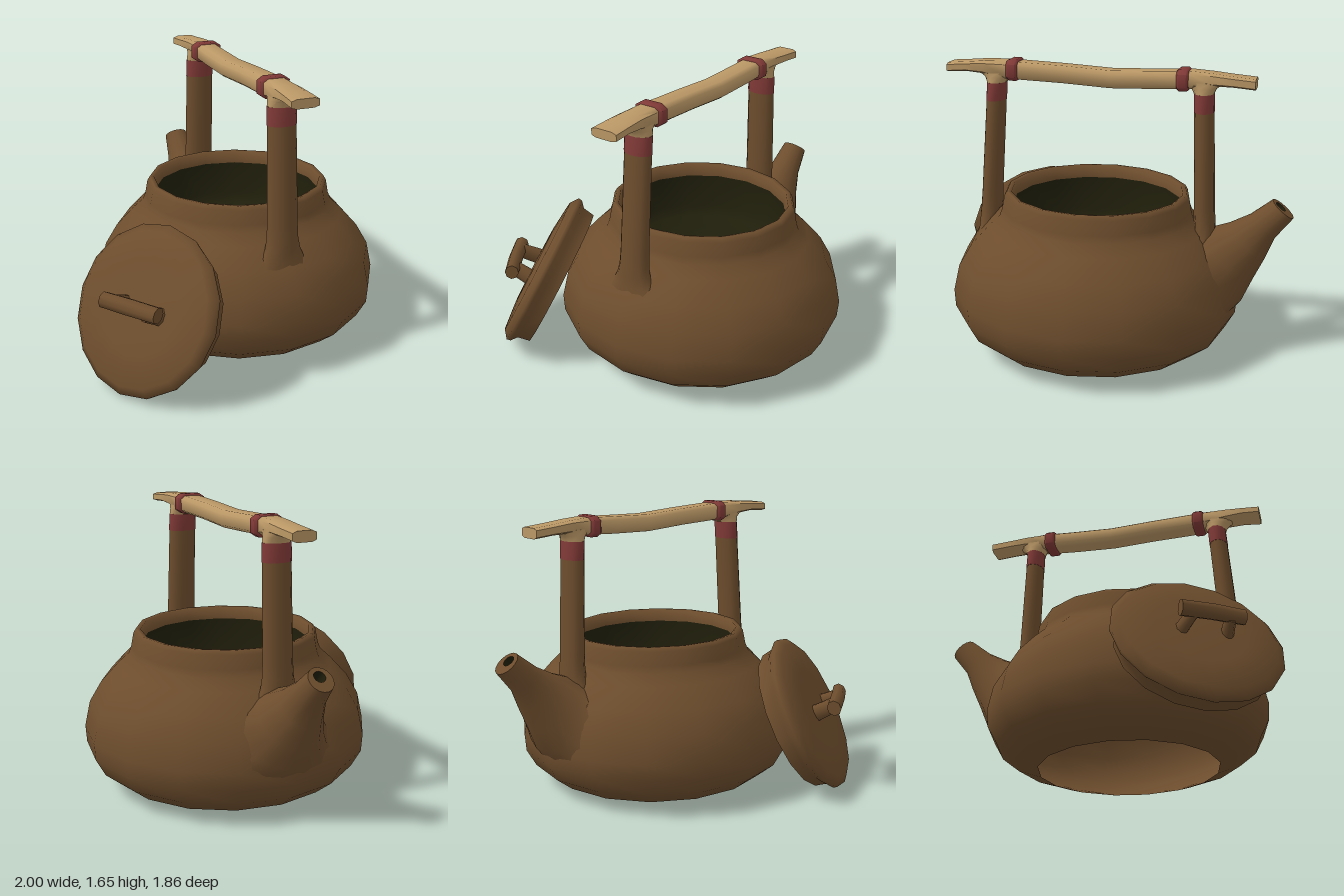
import * as THREE from 'three';
import { toCreasedNormals } from 'three/addons/utils/BufferGeometryUtils.js';

const paint = (name, color) => {
  const m = new THREE.MeshStandardMaterial({ color });
  m.name = name;
  return m;
};

// The posts, bar and spout all lie in one vertical plane through the pot:
// T runs along it towards the spout, S runs across it.
const UP = new THREE.Vector3(0, 1, 0);
const T = new THREE.Vector3(0.434, 0, -0.901);
const S = new THREE.Vector3(0.901, 0, 0.434);
const at = (s, y) => new THREE.Vector3(0.17 + s * T.x, y, 0.1 + s * T.z);

// Profile of the pot wall [radius, height], from the foot to the shoulder
const WALL = [
  [0.53, 0], [0.67, 0.05], [0.77, 0.13], [0.825, 0.23], [0.832, 0.33],
  [0.8, 0.48], [0.73, 0.6], [0.63, 0.71], [0.565, 0.77],
];

// Push a point that lies inside the pot out to just beneath its wall
function settle(p) {
  const i = WALL.findIndex(([, y], n) => n > 0 && p.y < y);
  if (i < 0) return;
  const [[r0, y0], [r1, y1]] = [WALL[i - 1], WALL[i]];
  const r = THREE.MathUtils.mapLinear(p.y, y0, y1, r0, r1) * 0.975 - 0.005;
  const x = p.x - 0.17, z = p.z - 0.1, d = Math.hypot(x, z);
  if (d < r) p.set(0.17 + (x / d) * r, p.y, 0.1 + (z / d) * r);
}

// Skin a row of oval rings [centre, radiusA, radiusB]; axes A x B point along the travel.
// A power below 1 makes the ovals boxier; rooted parts settle onto the pot wall.
function loft(rings, A, B, sides, { startCap = true, endCap = true, power = 1, rooted = false } = {}) {
  const pos = [], idx = [];
  const bend = (v) => Math.sign(v) * Math.abs(v) ** power;
  for (const [c, ra, rb] of rings) {
    for (let j = 0; j < sides; j++) {
      const t = (j / sides) * Math.PI * 2 + Math.PI / sides;
      const p = c.clone()
        .addScaledVector(A, ra * bend(Math.cos(t)))
        .addScaledVector(B, rb * bend(Math.sin(t)));
      if (rooted) settle(p);
      pos.push(p.x, p.y, p.z);
    }
  }
  for (let i = 0; i < rings.length - 1; i++) {
    for (let j = 0; j < sides; j++) {
      const k = (j + 1) % sides, a = i * sides, b = a + sides;
      idx.push(a + j, a + k, b + k, a + j, b + k, b + j);
    }
  }
  const last = (rings.length - 1) * sides;
  for (let j = 1; j < sides - 1; j++) {
    if (startCap) idx.push(0, j + 1, j);
    if (endCap) idx.push(last, last + j, last + j + 1);
  }
  const g = new THREE.BufferGeometry();
  g.setAttribute('position', new THREE.Float32BufferAttribute(pos, 3));
  g.setIndex(idx);
  return toCreasedNormals(g, 1.1);
}

const lathe = (points, sides) => toCreasedNormals(
  new THREE.LatheGeometry(points.map(([r, y]) => new THREE.Vector2(r, y)), sides), 1.35);

export function createModel() {
  const clay = paint('brown clay', 0x6d4d2d);
  const wood = paint('pale wood', 0xbb9866);
  const cord = paint('red cord', 0x813a37);
  const inside = paint('dark green inside', 0x1f1e0b);

  const model = new THREE.Group();
  model.name = 'teapot';
  const add = (name, geometry, material, parent = model) => {
    const mesh = new THREE.Mesh(geometry, material);
    mesh.name = name;
    parent.add(mesh);
    return mesh;
  };

  // Pot: squat shell, open underneath, with an upright collar; it leans very slightly
  const pot = new THREE.Group();
  pot.name = 'pot';
  pot.position.set(0.17, 0.01, 0.1);
  pot.rotation.set(-0.014, -0.04, -0.01);
  model.add(pot);
  add('body', lathe([
    ...WALL, [0.55, 0.81], [0.535, 0.89], [0.52, 0.915], [0.495, 0.912], [0.485, 0.84],
  ], 16), clay, pot);
  // Underside of the shell, seen through the open foot
  const lining = WALL.slice(0, 7).map(([r, y], i) => [i ? r - 0.03 : r, y]).reverse();
  add('bodyLining', lathe([[0, 0.54], ...lining], 16), clay, pot);
  // Dark basin below the collar
  add('hollow', lathe([
    [0.485, 0.84], [0.48, 0.64], [0.44, 0.585], [0.25, 0.565], [0, 0.56],
  ], 16), inside, pot);

  // Spout: wide root tapering to an open tip
  const axis = T.clone().multiplyScalar(0.64).addScaledVector(UP, 0.768);
  const across = T.clone().multiplyScalar(0.768).addScaledVector(UP, -0.64);
  const tip = at(1.075, 0.877);
  const mouth = tip.clone().addScaledVector(across, -0.018);
  const well = mouth.clone().addScaledVector(axis, -0.07);
  add('spout', loft([
    [at(0.58, 0.42), 0.36, 0.27], [at(0.68, 0.49), 0.27, 0.25], [at(0.775, 0.585), 0.185, 0.2],
    [at(0.885, 0.68), 0.122, 0.14], [at(0.967, 0.77), 0.09, 0.095], [tip, 0.07, 0.077], [mouth, 0.033, 0.034],
  ], S, across, 16, { startCap: false, endCap: false, rooted: true }), clay);
  add('spoutHole', loft([[mouth, 0.033, 0.034], [well, 0.025, 0.026]], S, across, 16, { startCap: false }), inside);

  // Posts: clay leg with a flared root, a cord wrap and a wooden fork under the bar
  for (const [side, base, top, drop] of [['front', -0.635, -0.575, 0], ['back', 0.64, 0.617, 0.015]]) {
    const ring = (y, k = 1, kb = k) =>
      [at(base + (top - base) * ((y - 0.72) / 0.8), y), 0.086 * k, 0.057 * kb];
    const y0 = 1.417 - drop, y1 = 1.52 - drop;
    add(side + 'Post', loft([
      ring(0.58, 1.9, 1.0), ring(0.66, 1.5, 1.05), ring(0.72, 1.2, 1.1), ring(0.78, 1.07),
      ring(0.86, 1.03), ring(y0, 0.97),
    ], S, T, 12, { startCap: false, endCap: false, rooted: true }), clay);
    add(side + 'PostWrap', loft([ring(y0, 1.0), ring(y1, 0.98)], S, T, 12), cord);
    add(side + 'Fork', loft([
      ring(y1, 0.96, 1), ring(y1 + 0.03, 0.9, 1.25), ring(y1 + 0.065, 0.85, 2.2),
    ], S, T, 12), wood);
  }

  // Carrying bar: sagging branch, flattened at both ends [s, y, half height, half width]
  add('handleBar', loft([
    [-0.85, 1.6, 0.027, 0.083], [-0.74, 1.607, 0.028, 0.079], [-0.64, 1.606, 0.038, 0.075],
    [-0.5, 1.595, 0.052, 0.074], [-0.17, 1.582, 0.051, 0.073], [0.1, 1.566, 0.051, 0.073],
    [0.35, 1.573, 0.051, 0.073], [0.55, 1.582, 0.05, 0.072], [0.66, 1.588, 0.036, 0.072],
    [0.78, 1.58, 0.031, 0.073], [0.9, 1.57, 0.031, 0.073],
  ].map(([s, y, h, w]) => [at(s, y), h, w]), UP, S, 8, { power: 0.5 }), wood);
  for (const [name, s, y] of [['frontBarWrap', -0.465, 1.595], ['backBarWrap', 0.505, 1.578]]) {
    add(name, loft([
      [at(s - 0.033, y), 0.054, 0.08], [at(s - 0.022, y), 0.062, 0.091],
      [at(s + 0.022, y), 0.062, 0.091], [at(s + 0.033, y), 0.054, 0.08],
    ], UP, S, 8, { power: 0.55 }), cord);
  }

  // Lid: shallow dome with a hollow flange, leaning against the pot
  const lid = new THREE.Group();
  lid.name = 'lid';
  lid.position.set(-0.765, 0.447, 0.26);
  lid.rotation.set(0, 0.07, 1.093, 'YXZ');
  model.add(lid);
  add('lidPlate', lathe([
    [0, -0.03], [0.22, -0.045], [0.36, -0.085], [0.425, -0.122], [0.437, -0.05], [0.472, -0.02],
    [0.476, 0.003], [0.43, 0.038], [0.25, 0.055], [0, 0.06],
  ], 16), clay, lid);

  // Lid grip: two pegs carrying a short slanting crossbar
  const X = new THREE.Vector3(1, 0, 0), Z = new THREE.Vector3(0, 0, 1);
  const v = (x, y, z) => new THREE.Vector3(x, y, z);
  for (const [name, z0, z1, y1] of [['backPeg', -0.11, -0.07, 0.175], ['frontPeg', 0.15, 0.13, 0.16]]) {
    add(name, loft([[v(0, 0.03, z0), 0.034, 0.052], [v(0, y1, z1), 0.03, 0.046]], Z, X, 8), clay, lid);
  }
  add('gripBar', loft([
    [v(-0.005, 0.182, -0.15), 0.046, 0.042], [v(0.005, 0.174, 0.03), 0.048, 0.042], [v(0.014, 0.156, 0.21), 0.046, 0.04],
  ], X, UP, 8), clay, lid);

  return model;
}
